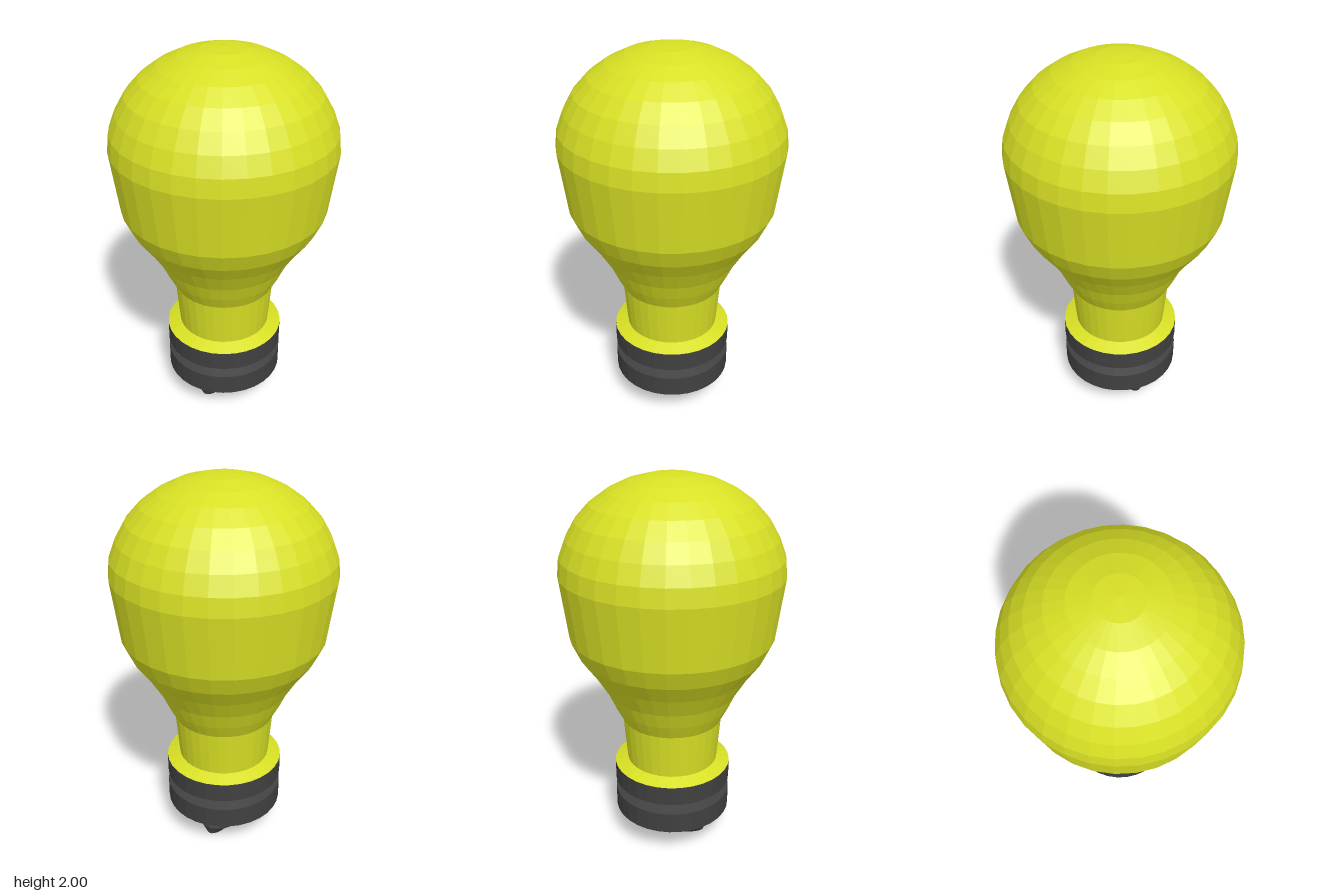
import * as THREE from 'three';

const SIDES = 32;
const yellow = new THREE.MeshStandardMaterial({ color: 0xd8e024, flatShading: true });
const black = new THREE.MeshStandardMaterial({ color: 0x404040, flatShading: true });

// Turned part from [radius, height] pairs listed bottom to top
function turned(name, profile, material) {
  const points = profile.map(([r, y]) => new THREE.Vector2(r, y));
  const mesh = new THREE.Mesh(new THREE.LatheGeometry(points, SIDES), material);
  mesh.name = name;
  return mesh;
}

// Foot: round at the top, pinched to a slightly turned narrow ellipse at the ground
function foot() {
  // height, half width in x, half depth in z, skew of z along x
  const levels = [
    [0, 0.185, 0.07, -0.2],
    [0.05, 0.197, 0.14, -0.12],
    [0.1, 0.18, 0.18, 0],
    [0.16, 0.18, 0.18, 0],
  ];
  const positions = [];
  const index = [];
  for (const [y, rx, rz, skew] of levels) {
    for (let i = 0; i < SIDES; i++) {
      const a = (i / SIDES) * Math.PI * 2;
      const x = rx * Math.sin(a);
      positions.push(x, y, rz * Math.cos(a) + skew * x - 0.012);
    }
  }
  for (let k = 0; k < levels.length - 1; k++) {
    for (let i = 0; i < SIDES; i++) {
      const a = k * SIDES + i;
      const b = k * SIDES + ((i + 1) % SIDES);
      index.push(a, b, a + SIDES, b, b + SIDES, a + SIDES);
    }
  }
  // flat underside
  const center = positions.length / 3;
  positions.push(0, 0, -0.012);
  for (let i = 0; i < SIDES; i++) index.push(center, (i + 1) % SIDES, i);

  const geometry = new THREE.BufferGeometry();
  geometry.setAttribute('position', new THREE.Float32BufferAttribute(positions, 3));
  geometry.setIndex(index);
  geometry.computeVertexNormals();
  const mesh = new THREE.Mesh(geometry, black);
  mesh.name = 'foot';
  return mesh;
}

export function createModel() {
  const group = new THREE.Group();
  group.name = 'lightBulb';

  // Glass: sloped collar, neck, flared shoulder and dome
  group.add(turned('glassBulb', [
    [0.315, 0.45], [0.245, 0.475], [0.265, 0.72], [0.306, 0.8], [0.345, 0.89],
    [0.41, 1.0], [0.48, 1.1], [0.525, 1.2], [0.565, 1.52], [0.555, 1.61],
    [0.52, 1.7], [0.47, 1.785], [0.4, 1.86], [0.315, 1.92], [0.22, 1.965],
    [0.11, 1.993], [0, 2],
  ], yellow));

  // Socket base: two rings separated by a groove, closed underneath
  group.add(turned('base', [
    [0, 0.15], [0.2, 0.15], [0.315, 0.17], [0.315, 0.285], [0.225, 0.308],
    [0.225, 0.318], [0.315, 0.345], [0.315, 0.45],
  ], black));

  group.add(foot());
  return group;
}
